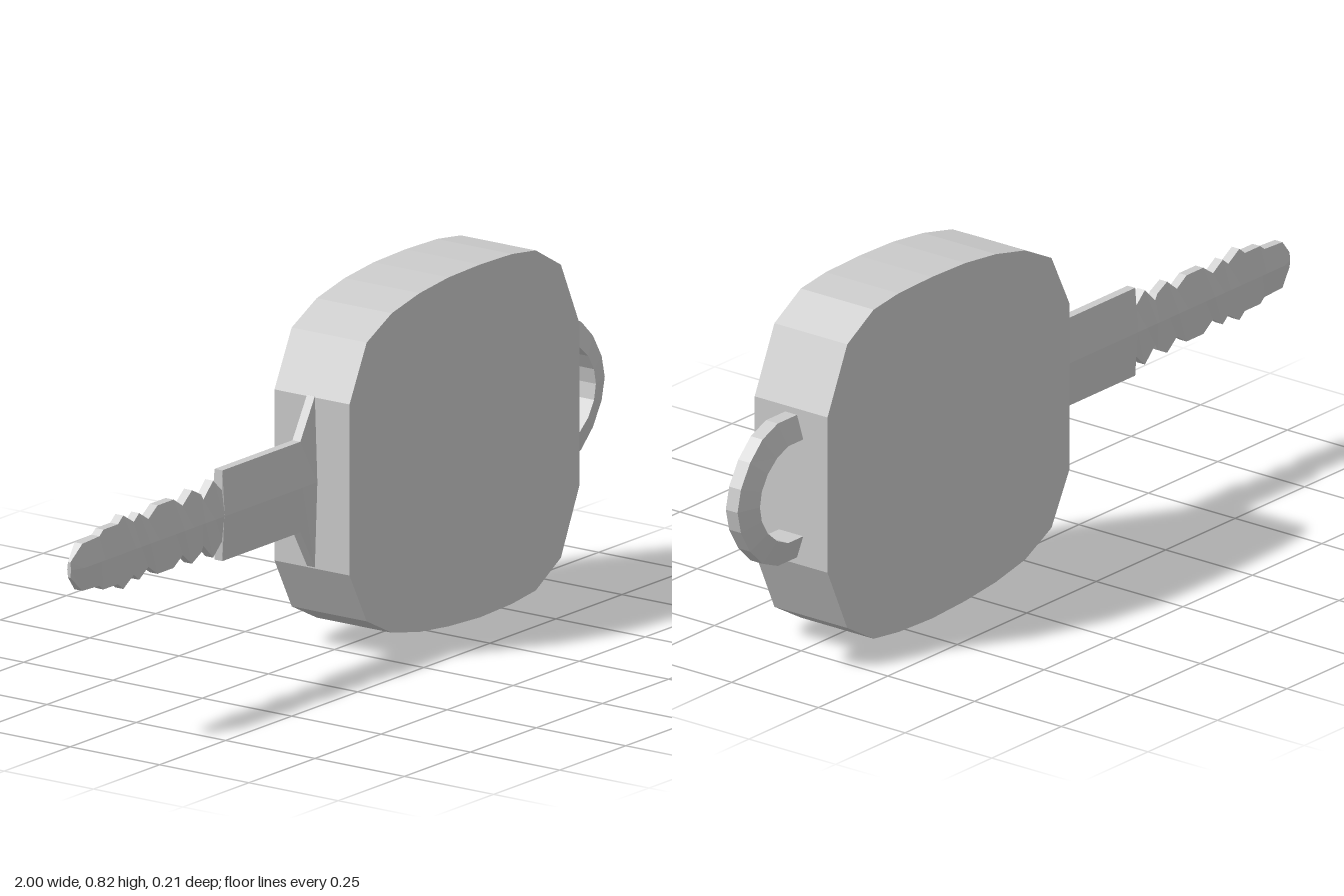
import * as THREE from 'three';

const MID = 0.413; // height of the key's long axis

function material() {
  return new THREE.MeshStandardMaterial({ color: 0xcccccc, flatShading: true });
}

// Skin a list of equal-sized cross-sections (arrays of [x, y, z]) and cap both ends
function loft(sections) {
  const n = sections[0].length, pos = sections.flat(2), index = [];
  for (let s = 0; s < sections.length - 1; s++) {
    for (let i = 0; i < n; i++) {
      const a = s * n + i, b = s * n + (i + 1) % n;
      index.push(a, a + n, b, b, a + n, b + n);
    }
  }
  const end = (sections.length - 1) * n;
  for (let i = 1; i < n - 1; i++) {
    index.push(0, i, i + 1, end, end + i + 1, end + i);
  }
  const g = new THREE.BufferGeometry();
  g.setAttribute('position', new THREE.Float32BufferAttribute(pos, 3));
  g.setIndex(index);
  const flat = g.toNonIndexed();
  flat.computeVertexNormals();
  return flat;
}

// Thick rounded-square grip
function makeHead() {
  const outline = [
    [-0.085, 0.61], [-0.02, 0.74], [0.075, 0.787], [0.18, 0.81], [0.29, 0.822],
    [0.41, 0.825], [0.53, 0.822], [0.62, 0.81], [0.715, 0.755], [0.786, 0.6],
    [0.786, 0.225], [0.715, 0.07], [0.62, 0.015], [0.53, 0.004], [0.41, 0],
    [0.29, 0.006], [0.18, 0.018], [0.075, 0.04], [-0.02, 0.088], [-0.085, 0.21],
  ].map(([x, y]) => new THREE.Vector2(x, y));
  const g = new THREE.ExtrudeGeometry(new THREE.Shape(outline), { depth: 0.21, bevelEnabled: false });
  g.translate(0, 0, -0.105);
  return new THREE.Mesh(g, material());
}

// Thin ridged blade: [x, half height], tip to collar
function makeBlade() {
  const profile = [
    [-1, 0.018], [-0.965, 0.055], [-0.9, 0.058], [-0.885, 0.07], [-0.83, 0.07],
    [-0.81, 0.086], [-0.77, 0.062], [-0.75, 0.078], [-0.715, 0.056], [-0.68, 0.08],
    [-0.62, 0.08], [-0.585, 0.058], [-0.55, 0.086], [-0.515, 0.068], [-0.507, 0.054],
    [-0.47, 0.09], [-0.437, 0.06], [-0.435, 0.106], [-0.14, 0.106], [-0.085, 0.2], [-0.06, 0.2],
  ];
  const z0 = -0.003;
  const sections = profile.map(([x, h], i) => {
    const k = i === 0 ? 0.3 : 1;
    const e = 0.011 * k, m = 0.018 * k;
    return [
      [x, MID + h, z0 + e], [x, MID, z0 + m], [x, MID - h, z0 + e],
      [x, MID - h, z0 - e], [x, MID, z0 - m], [x, MID + h, z0 - e],
    ];
  });
  // Sections advance along +x, so reverse the loop to face outward
  return new THREE.Mesh(loft(sections.map((s) => s.reverse())), material());
}

// D-shaped loop, narrow on its outer rim and wide on its inner rim
function makeLoop() {
  const upper = [ // outer x, outer dy, inner x, inner dy
    [0.76, 0.172, 0.76, 0.117], [0.855, 0.172, 0.84, 0.117], [0.91, 0.15, 0.88, 0.1],
    [0.955, 0.107, 0.913, 0.072], [0.988, 0.052, 0.935, 0.036],
  ];
  const lower = upper.map(([a, b, c, d]) => [a, -b, c, -d]).reverse();
  const path = [...upper, [1, 0, 0.942, 0], ...lower];
  const sections = path.map(([ox, oy, ix, iy]) => [
    [ox, MID + oy, 0.017], [ix, MID + iy, 0.035],
    [ix, MID + iy, -0.035], [ox, MID + oy, -0.017],
  ].reverse());
  return new THREE.Mesh(loft(sections), material());
}

export function createModel() {
  const group = new THREE.Group();
  group.name = 'key';
  const parts = { head: makeHead(), blade: makeBlade(), keyringLoop: makeLoop() };
  for (const [name, mesh] of Object.entries(parts)) {
    mesh.name = name;
    group.add(mesh);
  }
  return group;
}
